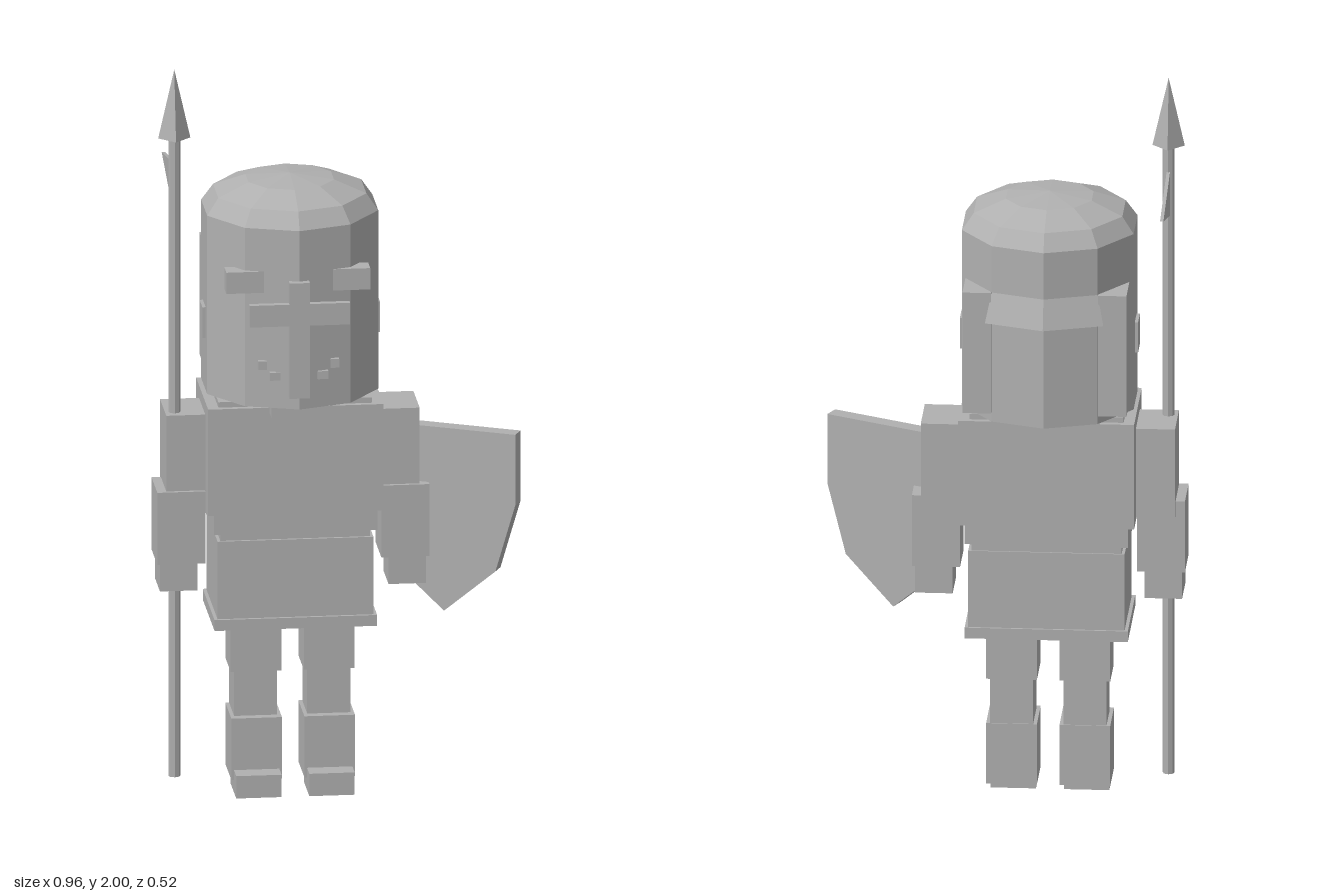
import * as THREE from 'three';

const stone = new THREE.MeshStandardMaterial({ color: 0xb0b0b0, flatShading: true });
stone.name = 'stone grey';
const CX = -0.12; // body centre line

export function createModel() {
  const model = new THREE.Group();
  model.name = 'knight';

  const add = (name, geo, x = 0, y = 0, z = 0) => {
    const m = new THREE.Mesh(geo, stone);
    m.name = name;
    m.position.set(x, y, z);
    model.add(m);
    return m;
  };
  // box from its limits, x measured from the centre line
  const box = (name, x0, x1, y0, y1, z0, z1) =>
    add(name, new THREE.BoxGeometry(x1 - x0, y1 - y0, z1 - z0),
      CX + (x0 + x1) / 2, (y0 + y1) / 2, (z0 + z1) / 2);
  const pair = (name, x0, x1, ...rest) => {
    box('left ' + name, x0, x1, ...rest);
    box('right ' + name, -x1, -x0, ...rest);
  };

  // Legs and feet
  pair('thigh', 0.03, 0.165, 0.33, 0.5, -0.055, 0.075);
  pair('knee', 0.04, 0.155, 0.19, 0.34, -0.053, 0.066);
  pair('boot', 0.03, 0.165, 0.035, 0.205, -0.056, 0.09);
  pair('foot', 0.037, 0.158, 0, 0.062, 0.01, 0.145);

  // Tunic and torso
  box('hem', -0.217, 0.217, 0.47, 0.5, -0.13, 0.155);
  box('skirt', -0.208, 0.208, 0.49, 0.715, -0.124, 0.147);
  box('waist', -0.2, 0.2, 0.7, 0.74, -0.12, 0.14);
  box('belly', -0.218, 0.218, 0.735, 0.8, -0.128, 0.15);
  box('chest', -0.234, 0.234, 0.79, 1.085, -0.135, 0.155);
  box('shoulder plate', -0.205, 0.205, 1.08, 1.1, -0.12, 0.14);
  box('collar', -0.07, 0.07, 1.07, 1.105, 0.12, 0.205);
  add('neck', new THREE.CylinderGeometry(0.1, 0.1, 0.06, 10), CX, 1.09, 0.005);

  // Arms
  pair('upper arm', 0.225, 0.338, 0.8, 1.05, -0.067, 0.085);
  pair('forearm', 0.235, 0.363, 0.64, 0.84, -0.047, 0.095);
  pair('hand', 0.255, 0.355, 0.563, 0.66, -0.04, 0.085);

  // Ten-sided helmet with a domed crown
  const R = 0.24;
  const profile = [[0, 1.105], [R, 1.105], [R, 1.6]];
  for (const a of [30, 60, 90]) {
    const t = a * Math.PI / 180;
    profile.push([a === 90 ? 0 : R * Math.cos(t), 1.6 + 0.09 * Math.sin(t)]);
  }
  add('helmet', new THREE.LatheGeometry(profile.map(p => new THREE.Vector2(...p)), 10), CX, 0, 0.005);

  // Helmet face cross, brow blocks and breathing studs
  box('cross upright', -0.028, 0.026, 1.14, 1.46, 0.225, 0.26);
  box('cross bar', -0.134, 0.134, 1.34, 1.4, 0.237, 0.255);
  pair('brow block', 0.09, 0.192, 1.423, 1.482, 0.163, 0.215);
  pair('outer stud', 0.085, 0.108, 1.212, 1.236, 0.2, 0.226);
  pair('inner stud', 0.05, 0.078, 1.184, 1.206, 0.21, 0.234);
  pair('ear plate', 0.21, 0.237, 1.25, 1.335, -0.025, 0.043);

  // Rear cheek guards and flared neck ridge
  pair('rear guard', 0.142, 0.218, 1.13, 1.47, -0.197, -0.075);
  const ridge = new THREE.LatheGeometry(
    [[0.225, 1.39], [0.268, 1.39], [0.238, 1.475]].map(p => new THREE.Vector2(...p)),
    2, Math.PI * 0.8, Math.PI * 0.4);
  add('rear ridge', ridge, CX, 0, 0.005);

  // Shield, turned outward on the left arm
  const half = [[0.2, 0.995], [0.2, 0.8], [0.144, 0.61]];
  const outline = [...half, [0, 0.487], ...half.map(([x, y]) => [-x, y]).reverse()];
  const shieldGeo = new THREE.ExtrudeGeometry(
    new THREE.Shape(outline.map(p => new THREE.Vector2(...p))),
    { depth: 0.042, bevelEnabled: false });
  shieldGeo.translate(0, 0, -0.021);
  add('shield', shieldGeo, 0.291, 0, 0.075).rotation.y = -0.44;

  // Spear with point and pennant
  const sx = -0.433, sz = 0.05;
  add('spear shaft', new THREE.CylinderGeometry(0.016, 0.016, 1.78, 8), sx, 0.93, sz);
  add('spear point', new THREE.ConeGeometry(0.043, 0.19, 4), sx, 1.905, sz);
  const flag = new THREE.Shape([[0, 1.74], [0, 1.615], [0.255, 1.69]].map(p => new THREE.Vector2(...p)));
  const flagGeo = new THREE.ExtrudeGeometry(flag, { depth: 0.009, bevelEnabled: false });
  flagGeo.translate(0, 0, -0.0045);
  add('pennant', flagGeo, sx, 0, 0.04).rotation.y = Math.PI / 2;

  return model;
}
